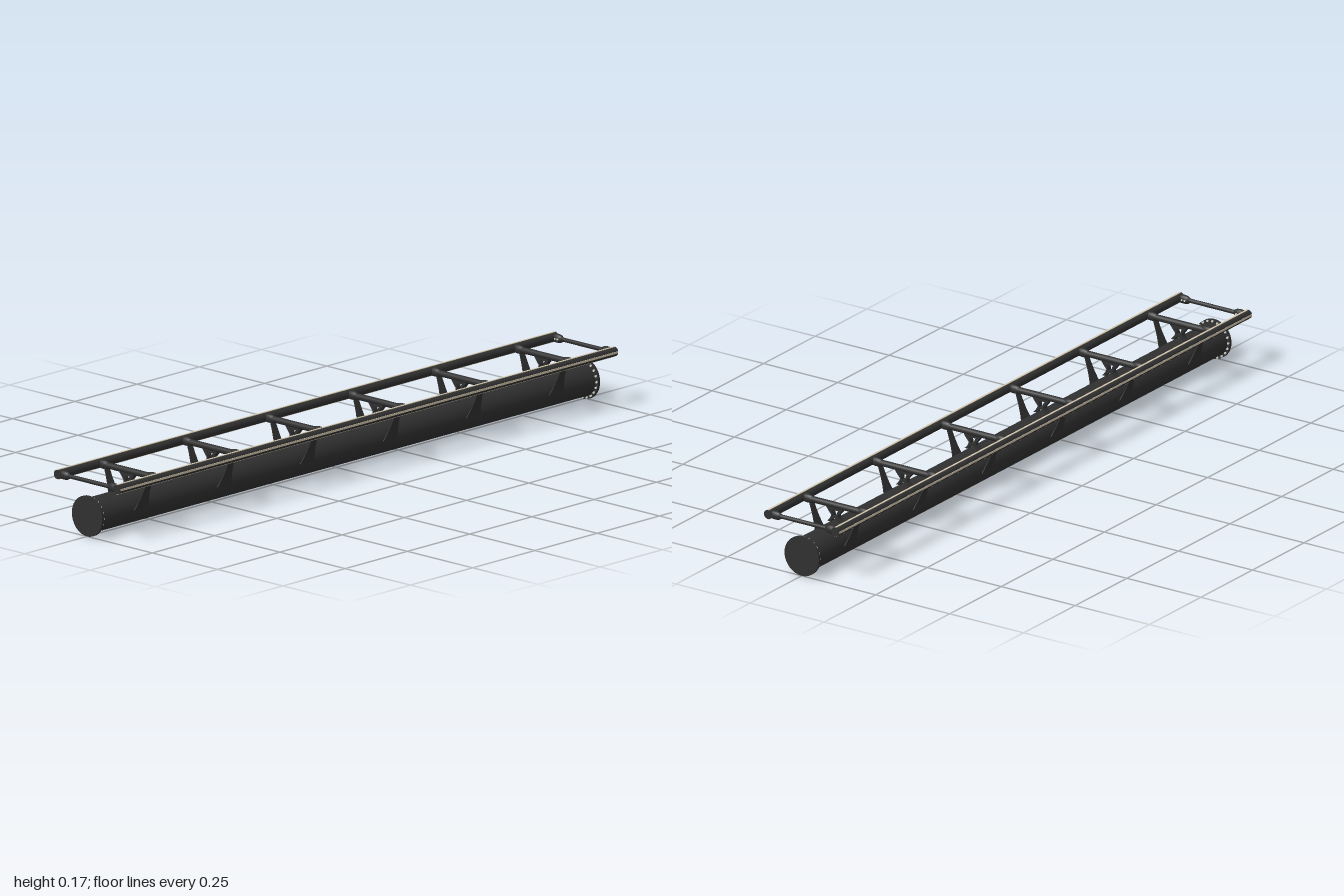
import * as THREE from 'three';

const steel = new THREE.MeshStandardMaterial({ color: 0x303030 });
steel.name = 'dark steel';
const worn = new THREE.MeshStandardMaterial({ color: 0xd2c6ac });
worn.name = 'worn running surface';
const zinc = new THREE.MeshStandardMaterial({ color: 0xd4d4d0 });
zinc.name = 'pale bolt metal';

const SPINE_Y = 0.0585, RAIL_X = 0.114, RAIL_Y = 0.157, RAIL_R = 0.0133;

export function createModel() {
  const model = new THREE.Group();
  model.name = 'trackSection';

  const add = (parent, name, geometry, x = 0, y = 0, z = 0, material = steel) => {
    const mesh = new THREE.Mesh(geometry, material);
    mesh.name = name;
    mesh.position.set(x, y, z);
    parent.add(mesh);
    return mesh;
  };
  const rodZ = (r, length, sides = 32) => new THREE.CylinderGeometry(r, r, length, sides).rotateX(Math.PI / 2);
  const rodX = (r, length) => new THREE.CylinderGeometry(r, r, length, 20).rotateZ(Math.PI / 2);

  // Main tube with a flange at each end, bolted from the inner side
  add(model, 'spineTube', rodZ(0.049, 1.99, 48), 0, SPINE_Y);
  const flange = rodZ(0.058, 0.008, 48);
  const bolt = rodZ(0.0032, 0.005, 8);
  for (const end of [-1, 1]) {
    add(model, 'endFlange', flange, 0, SPINE_Y, end * 0.996);
    for (let i = 0; i < 20; i++) {
      const a = (i / 20) * Math.PI * 2;
      add(model, 'flangeBolt', bolt, Math.cos(a) * 0.0537, SPINE_Y + Math.sin(a) * 0.0537, end * 0.9905, zinc);
    }
  }

  // Rails with thin worn strips on the top, outer side and underside
  const rail = rodZ(RAIL_R, 2, 24);
  const flatStrip = new THREE.BoxGeometry(0.006, 0.0018, 1.998);
  const sideStrip = new THREE.BoxGeometry(0.0018, 0.006, 1.998);
  for (const side of [-1, 1]) {
    add(model, 'rail', rail, side * RAIL_X, RAIL_Y);
    add(model, 'railTopStrip', flatStrip, side * RAIL_X, RAIL_Y + RAIL_R, 0, worn);
    add(model, 'railBottomStrip', flatStrip, side * RAIL_X, RAIL_Y - RAIL_R, 0, worn);
    add(model, 'railSideStrip', sideStrip, side * (RAIL_X + RAIL_R), RAIL_Y, 0, worn);
  }

  // Flared sleeve joining a cross bar to a rail, along +x
  const sleeve = (barR) => new THREE.LatheGeometry([
    [0, 0.074], [barR, 0.074], [0.0112, 0.082], [0.0128, 0.09], [0.0128, 0.1], [0.0115, 0.108], [0, 0.108],
  ].map(([r, x]) => new THREE.Vector2(r, x)), 20).rotateZ(-Math.PI / 2).scale(1, 1, 0.75);
  const tieSleeve = sleeve(0.009), endSleeve = sleeve(0.006);
  const addBar = (parent, r, sleeveGeometry) => {
    add(parent, 'crossBar', rodX(r, 0.18), 0, RAIL_Y);
    for (const side of [-1, 1]) {
      add(parent, 'railSleeve', sleeveGeometry, 0, RAIL_Y).rotation.y = side > 0 ? 0 : Math.PI;
    }
  };

  // Slanted leg plate, narrow at the cross bar and flaring onto the tube
  const legTop = new THREE.Vector2(0.084, 0.152), legFoot = new THREE.Vector2(0.0488, 0.056);
  const legLength = legTop.distanceTo(legFoot);
  const legShape = new THREE.Shape();
  legShape.moveTo(-0.03, 0);
  legShape.lineTo(0.03, 0);
  legShape.quadraticCurveTo(0.011, 0.04, 0.01, legLength);
  legShape.lineTo(-0.01, legLength);
  legShape.quadraticCurveTo(-0.011, 0.04, -0.03, 0);
  const leg = new THREE.ExtrudeGeometry(legShape, { depth: 0.002, bevelEnabled: false, curveSegments: 10 })
    .translate(0, 0, -0.001);

  // Waisted centre bracket with a window and an open foot
  const bracketShape = new THREE.Shape();
  bracketShape.moveTo(-0.028, 0.15);
  bracketShape.quadraticCurveTo(-0.019, 0.138, -0.011, 0.129);
  bracketShape.quadraticCurveTo(-0.011, 0.121, -0.025, 0.108);
  bracketShape.lineTo(-0.014, 0.108);
  bracketShape.quadraticCurveTo(0, 0.132, 0.014, 0.108);
  bracketShape.lineTo(0.025, 0.108);
  bracketShape.quadraticCurveTo(0.011, 0.121, 0.011, 0.129);
  bracketShape.quadraticCurveTo(0.019, 0.138, 0.028, 0.15);
  bracketShape.closePath();
  const bracketWindow = new THREE.Path();
  bracketWindow.moveTo(-0.012, 0.144);
  bracketWindow.lineTo(0.012, 0.144);
  bracketWindow.quadraticCurveTo(0.006, 0.136, 0.006, 0.126);
  bracketWindow.lineTo(-0.006, 0.126);
  bracketWindow.quadraticCurveTo(-0.006, 0.136, -0.012, 0.144);
  bracketShape.holes.push(bracketWindow);
  const bracket = new THREE.ExtrudeGeometry(bracketShape, { depth: 0.016, bevelEnabled: false, curveSegments: 8 })
    .translate(0, 0, -0.008);

  // Six evenly spaced ties
  for (let i = 0; i < 6; i++) {
    const tie = new THREE.Group();
    tie.name = 'tie';
    tie.position.z = (i - 2.5) / 3;
    addBar(tie, 0.009, tieSleeve);
    add(tie, 'centreBracket', bracket);
    for (const side of [-1, 1]) {
      const mesh = add(tie, 'legPlate', leg, side * legFoot.x, legFoot.y);
      const along = new THREE.Vector3(0, 0, 1);
      const up = new THREE.Vector3(side * (legTop.x - legFoot.x), legTop.y - legFoot.y, 0).normalize();
      const out = new THREE.Vector3().crossVectors(along, up);
      mesh.quaternion.setFromRotationMatrix(new THREE.Matrix4().makeBasis(along, up, out));
    }
    model.add(tie);
  }

  // Thinner cross bars closing both ends of the rails, with bolts behind the sleeves
  const endBolt = rodZ(0.0028, 0.005, 8);
  for (const end of [-1, 1]) {
    const endBar = new THREE.Group();
    endBar.name = 'endBar';
    endBar.position.z = end * 0.99;
    addBar(endBar, 0.006, endSleeve);
    for (const x of [-0.096, -0.087, 0.087, 0.096]) {
      add(endBar, 'endBolt', endBolt, x, RAIL_Y, -end * 0.009, zinc);
    }
    model.add(endBar);
  }
  return model;
}
